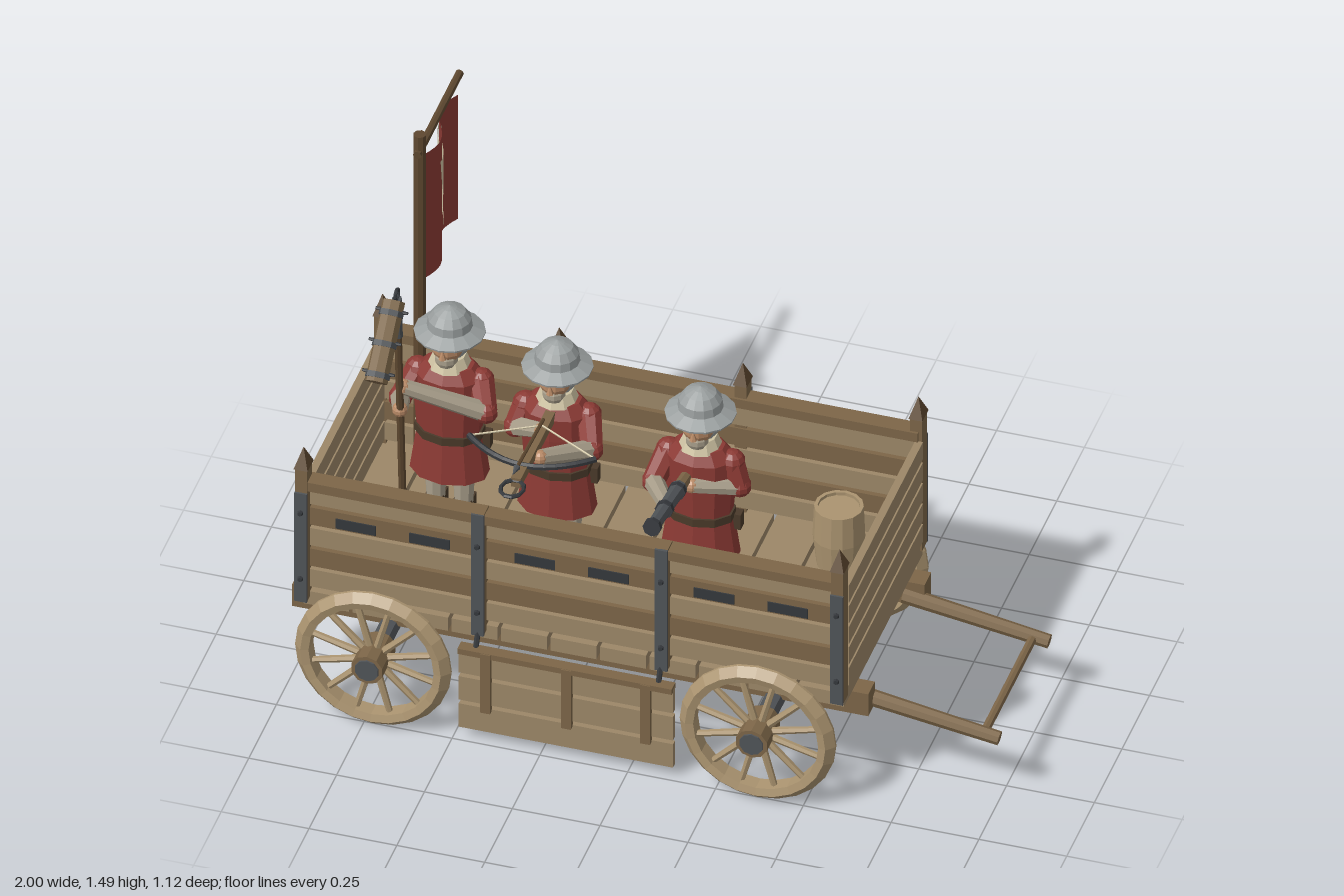
import * as THREE from 'three';

const mat = (color, side = THREE.FrontSide) => new THREE.MeshStandardMaterial({ color, flatShading: true, side });
const D = THREE.DoubleSide;
const M = {
  light: mat(0x9c8768), pale: mat(0xab9470, D), mid: mat(0x7d6648), dark: mat(0x5e4830),
  iron: mat(0x505458), black: mat(0x35383c), red: mat(0x8c3a34, D), steel: mat(0x9a9f9f, D),
  skin: mat(0xb98a66), sleeve: mat(0xaaa08c), cream: mat(0xcfc4a4, D), boot: mat(0x4a3a2a),
};
const V = (x, y, z) => new THREE.Vector3(x, y, z);
const ZC = 0.078; // middle of the wagon across its width

function add(parent, name, geo, material, x = 0, y = 0, z = 0) {
  const m = new THREE.Mesh(geo, material);
  m.name = name;
  m.position.set(x, y, z);
  parent.add(m);
  return m;
}
const box = (p, name, material, w, h, d, x, y, z) => add(p, name, new THREE.BoxGeometry(w, h, d), material, x, y, z);

// Round bar between two points
function bar(p, name, material, a, b, r0, r1 = r0, sides = 8) {
  const m = add(p, name, new THREE.CylinderGeometry(r1, r0, a.distanceTo(b), sides), material);
  m.position.copy(a).lerp(b, 0.5);
  m.quaternion.setFromUnitVectors(V(0, 1, 0), b.clone().sub(a).normalize());
  return m;
}
const ball = (p, name, material, r, pos, sy = 1) => {
  const m = add(p, name, new THREE.SphereGeometry(r, 10, 7), material, pos.x, pos.y, pos.z);
  m.scale.y = sy;
  return m;
};
const lathe = (pts, n) => new THREE.LatheGeometry(pts.map(q => new THREE.Vector2(...q)), n);
function group(parent, name, x = 0, y = 0, z = 0) {
  const g = new THREE.Group();
  g.name = name;
  g.position.set(x, y, z);
  parent.add(g);
  return g;
}

function makeWheel(parent, x, z) {
  const w = group(parent, 'wheel', x, 0.223, z);
  const rim = lathe([[0.178, -0.022], [0.2, -0.028], [0.222, -0.004], [0.222, 0.004], [0.2, 0.028], [0.178, 0.022], [0.178, -0.022]], 24);
  add(w, 'rim', rim, M.pale).rotation.x = Math.PI / 2;
  for (let i = 0; i < 12; i++) {
    const a = (i + 0.5) * Math.PI / 6, c = Math.cos(a), s = Math.sin(a);
    bar(w, 'spoke', M.pale, V(c * 0.035, s * 0.035, 0), V(c * 0.185, s * 0.185, 0), 0.011, 0.009, 6);
  }
  bar(w, 'hub', M.mid, V(0, 0, -0.06), V(0, 0, 0.06), 0.046, 0.046, 10);
  for (const s of [-1, 1]) bar(w, 'hubCap', M.iron, V(0, 0, s * 0.055), V(0, 0, s * 0.064), 0.036, 0.034, 10);
}

function makeWagon(root) {
  const g = group(root, 'wagon');
  // Running gear
  for (const x of [-0.725, 0.37]) {
    bar(g, 'axle', M.iron, V(x, 0.225, ZC - 0.4), V(x, 0.225, ZC + 0.4), 0.03);
    for (const s of [-1, 1]) makeWheel(g, x, ZC + s * 0.418);
  }
  for (const z of [0.327, -0.183]) box(g, 'longBeam', M.mid, 1.64, 0.075, 0.06, -0.18, 0.272, z);
  // Draw frame
  for (const z of [0.297, -0.155]) bar(g, 'drawShaft', M.mid, V(0.58, 0.262, z), V(0.995, 0.197, z), 0.024, 0.02);
  bar(g, 'drawCrossbar', M.mid, V(0.95, 0.204, -0.16), V(0.95, 0.204, 0.3), 0.013);
  // Floor
  const step = 1.55 / 11;
  for (let i = 0; i < 11; i++)
    box(g, 'floorPlank', M.light, step - 0.01, 0.045, 0.71, -0.95 + step * (i + 0.5), 0.335, ZC);
  // Plank walls
  for (let i = 0; i < 5; i++) {
    const y = 0.404 + i * 0.0705;
    for (const s of [-1, 1])
      box(g, 'sidePlank', i % 2 ? M.mid : M.light, 1.54, 0.059, 0.025, -0.18, y, ZC + s * 0.342);
    for (const x of [-0.94, 0.592]) box(g, 'endPlank', M.light, 0.022, 0.059, 0.67, x, y, ZC);
  }
  for (const s of [-1, 1]) {
    box(g, 'topRail', M.mid, 1.54, 0.03, 0.05, -0.18, 0.731, ZC + s * 0.352);
    // Firing slots, two in each bay
    for (const bay of [-0.69, -0.18, 0.33])
      for (const o of [-0.105, 0.105])
        box(g, 'slot', M.black, 0.115, 0.032, 0.028, bay + o, 0.608, ZC + s * 0.344);
    // Posts with iron straps and bolts
    [-0.943, -0.44, 0.083, 0.583].forEach((x, i) => {
      const corner = i === 0 || i === 3, spiked = corner || s < 0;
      const top = spiked ? 0.79 : 0.752;
      box(g, 'post', M.mid, 0.034, top - 0.34, 0.046, x, (top + 0.34) / 2, ZC + s * 0.357);
      if (spiked) {
        const tip = new THREE.CylinderGeometry(0, 0.707, 1, 4).rotateY(Math.PI / 4);
        add(g, 'postTip', tip, M.dark, x, 0.82, ZC + s * 0.357).scale.set(0.04, 0.062, 0.056);
      }
      const sTop = corner ? 0.71 : 0.752;
      box(g, 'strap', M.iron, 0.036, sTop - 0.34, 0.008, x, (sTop + 0.34) / 2, ZC + s * 0.382);
      for (const y of [0.42, 0.645])
        bar(g, 'bolt', M.black, V(x, y, ZC + s * 0.38), V(x, y, ZC + s * 0.394), 0.011, 0.007, 6);
    });
  }
  // Hanging board shield on the front side
  const shield = group(g, 'hangingShield', -0.18, 0, 0.478);
  [0.075, 0.168, 0.261].forEach(y => box(shield, 'shieldPlank', M.light, 0.61, 0.08, 0.018, 0, y, 0));
  for (const x of [-0.225, 0.005, 0.23]) box(shield, 'shieldBatten', M.mid, 0.028, 0.2, 0.018, x, 0.21, 0.016);
  box(shield, 'shieldTopRail', M.mid, 0.61, 0.018, 0.034, 0, 0.302, 0.004);
  for (const x of [-0.26, 0.26]) bar(shield, 'shieldHook', M.black, V(x, 0.3, 0), V(x, 0.37, -0.03), 0.008, 0.008, 6);
  // Small keg on the floor
  add(g, 'keg', lathe([[0, 0.357], [0.062, 0.357], [0.072, 0.45], [0.068, 0.55], [0.058, 0.55], [0.058, 0.54], [0, 0.54]], 14), M.pale, 0.405, 0, -0.125);
}

// Soldier facing +z; each arm is [shoulder, elbow, hand] in the soldier's own frame
function makeSoldier(root, x, z, arms) {
  const g = group(root, 'soldier', x, 0, z);
  for (const s of [-1, 1]) {
    bar(g, 'leg', M.sleeve, V(s * 0.04, 0.4, 0), V(s * 0.04, 0.58, 0), 0.027, 0.036);
    box(g, 'boot', M.boot, 0.05, 0.05, 0.1, s * 0.04, 0.382, 0.015);
  }
  const coat = add(g, 'coat', lathe([[0.112, 0.5], [0.092, 0.64], [0.102, 0.76], [0.1, 0.83], [0.07, 0.865], [0, 0.875]], 10), M.red);
  coat.scale.z = 0.72;
  const belt = add(g, 'belt', new THREE.CylinderGeometry(0.099, 0.099, 0.025, 10), M.boot, 0, 0.64, 0);
  belt.scale.z = 0.74;
  box(g, 'pouch', M.boot, 0.035, 0.05, 0.03, 0.095, 0.61, -0.02);
  box(g, 'purse', M.cream, 0.03, 0.06, 0.025, -0.09, 0.6, -0.03);
  add(g, 'collar', new THREE.CylinderGeometry(0.046, 0.062, 0.035, 10), M.cream, 0, 0.877, 0);
  ball(g, 'hood', M.steel, 0.054, V(0, 0.93, -0.012), 1.05);
  ball(g, 'face', M.skin, 0.045, V(0, 0.935, 0.02), 1.05);
  ball(g, 'beard', M.sleeve, 0.033, V(0, 0.9, 0.03));
  add(g, 'nose', new THREE.ConeGeometry(0.011, 0.03, 6), M.skin, 0, 0.935, 0.067);
  add(g, 'kettleHat', lathe([[0.05, 0.965], [0.098, 0.966], [0.099, 0.972], [0.063, 0.99], [0.06, 1.015], [0.044, 1.038], [0.02, 1.05], [0, 1.057]], 14), M.steel);
  for (const [a, b, c] of arms) {
    const arm = group(g, 'arm');
    const [A, B, C] = [V(...a), V(...b), V(...c)];
    ball(arm, 'shoulder', M.red, 0.037, A);
    bar(arm, 'upperArm', M.red, A, B, 0.036, 0.032);
    ball(arm, 'elbow', M.red, 0.033, B);
    bar(arm, 'forearm', M.sleeve, B, C, 0.029, 0.022);
    ball(arm, 'hand', M.skin, 0.022, C);
  }
}

function makeFlail(root) {
  const g = group(root, 'flail');
  bar(g, 'flailHandle', M.dark, V(-0.765, 0.42, 0.1), V(-0.755, 1.2, 0.185), 0.011);
  bar(g, 'flailSocket', M.iron, V(-0.757, 1.08, 0.172), V(-0.755, 1.22, 0.187), 0.014);
  add(g, 'flailRing', new THREE.TorusGeometry(0.016, 0.005, 6, 10).rotateY(Math.PI / 2), M.black, -0.755, 1.235, 0.19);
  const a = V(-0.755, 1.232, 0.215), b = V(-0.755, 1.07, 0.375);
  bar(g, 'flailHead', M.mid, a, b, 0.032, 0.032, 8);
  for (const t of [0.12, 0.5, 0.88]) {
    const c = a.clone().lerp(b, t), d = a.clone().lerp(b, t + 0.07);
    bar(g, 'flailBand', M.iron, c, d, 0.035, 0.035, 8);
    for (const s of [-1, 1])
      bar(g, 'flailStud', M.black, c, c.clone().add(V(s * 0.046, 0, 0)), 0.009, 0.004, 6);
  }
}

function makeCrossbow(root) {
  const g = group(root, 'crossbow', -0.35, 0.85, 0);
  box(g, 'stock', M.mid, 0.028, 0.03, 0.33, 0, -0.012, 0.235);
  const limb = new THREE.QuadraticBezierCurve3(V(-0.18, 0, 0.25), V(0, 0, 0.42), V(0.18, 0, 0.25));
  add(g, 'bow', new THREE.TubeGeometry(limb, 14, 0.009, 6), M.black);
  for (const s of [-1, 1]) bar(g, 'string', M.cream, V(s * 0.18, 0, 0.25), V(0, 0.008, 0.16), 0.003, 0.003, 5);
  bar(g, 'boltShaft', M.dark, V(0, 0.022, 0.15), V(0, 0.034, 0.4), 0.005, 0.005, 6);
  bar(g, 'boltHead', M.iron, V(0, 0.034, 0.39), V(0, 0.036, 0.43), 0.01, 0, 6);
  const stirrup = add(g, 'stirrup', new THREE.TorusGeometry(0.032, 0.006, 6, 10).rotateX(Math.PI / 2), M.black, 0, -0.008, 0.432);
  stirrup.scale.z = 1.2;
}

function makeHandgun(root) {
  const g = group(root, 'handgun');
  const at = t => V(0.065, 0.8 + 0.045 * t, 0.24 + 0.25 * t);
  bar(g, 'gunStock', M.mid, at(-0.4), at(0.3), 0.018, 0.02);
  bar(g, 'barrel', M.iron, at(0), at(0.97), 0.023, 0.019);
  for (const t of [0.05, 0.5, 0.94]) bar(g, 'barrelRing', M.black, at(t), at(t + 0.06), 0.026, 0.026);
}

function makeBanner(root) {
  const g = group(root, 'banner');
  bar(g, 'bannerPole', M.dark, V(-0.81, 0.36, -0.195), V(-0.81, 1.49, -0.195), 0.018);
  bar(g, 'bannerArm', M.dark, V(-0.81, 1.435, -0.17), V(-0.81, 1.435, -0.555), 0.012);
  const wave = z => -0.807 + 0.024 * Math.sin((-z - 0.215) / 0.315 * Math.PI * 2);
  // Lays a grid on the waving cloth: fn maps (u, row) to [z, y]
  const cloth = (name, material, rows, offset, fn) => {
    const geo = new THREE.PlaneGeometry(1, 1, 12, rows), p = geo.attributes.position;
    for (let i = 0; i < p.count; i++) {
      const [z, y] = fn(p.getX(i), Math.floor(i / 13));
      p.setXYZ(i, wave(z) + offset, y, z);
    }
    geo.computeVertexNormals();
    add(g, name, geo, material);
  };
  cloth('flag', M.red, 1, 0, (u, r) => [-0.372 - u * 0.315, 1.392 - r * 0.425 - u * 0.025]);
  // Plain cup motif: half width and height of each row
  const cup = [[0.081, 1.335], [0.07, 1.26], [0.045, 1.195], [0.012, 1.17], [0.011, 1.122], [0.058, 1.12], [0.058, 1.098]];
  for (const o of [-0.004, 0.004])
    cloth('flagCup', M.cream, cup.length - 1, o, (u, r) => [-0.366 - u * 2 * cup[r][0], cup[r][1]]);
}

export function createModel() {
  const root = new THREE.Group();
  root.name = 'warWagon';
  makeWagon(root);
  makeSoldier(root, -0.673, -0.03, [
    [[-0.09, 0.82, 0], [-0.125, 0.75, 0.05], [-0.09, 0.8, 0.165]],
    [[0.09, 0.82, 0], [0.125, 0.77, 0.07], [-0.08, 0.88, 0.165]],
  ]);
  makeSoldier(root, -0.348, 0.03, [
    [[-0.09, 0.82, 0], [-0.11, 0.76, 0.03], [-0.01, 0.825, 0.11]],
    [[0.09, 0.82, 0], [0.12, 0.76, 0.07], [0.02, 0.82, 0.22]],
  ]);
  makeSoldier(root, 0.085, 0.11, [
    [[-0.09, 0.82, 0], [-0.115, 0.75, 0.06], [-0.03, 0.795, 0.21]],
    [[0.09, 0.82, 0], [0.115, 0.75, 0.01], [0, 0.775, 0.08]],
  ]);
  makeFlail(root);
  makeCrossbow(root);
  makeHandgun(root);
  makeBanner(root);
  return root;
}
